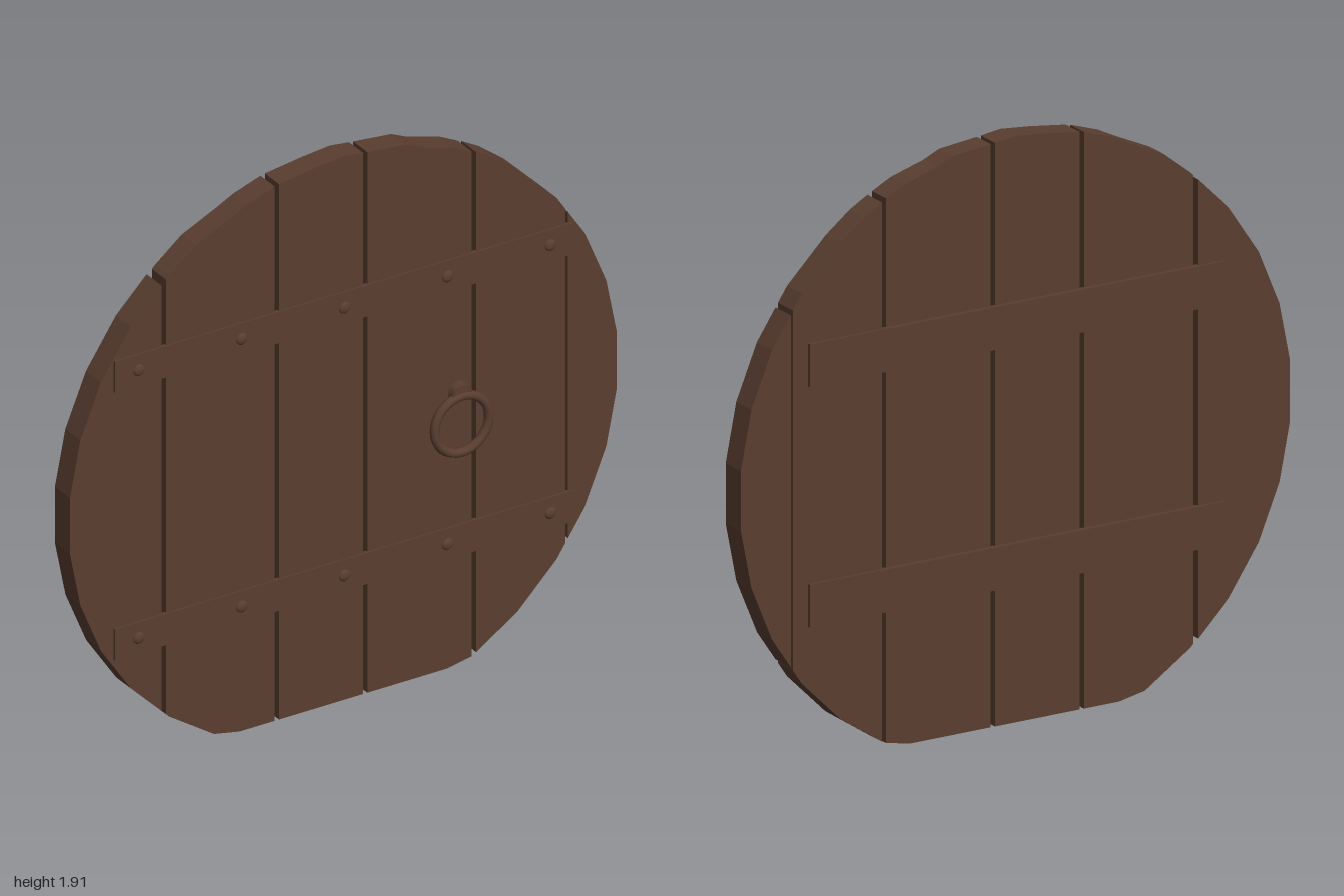
import * as THREE from 'three';

const wood = new THREE.MeshStandardMaterial({ color: 0x5a3e30 });
wood.name = 'dark brown wood';

// Round door outline: regular arcs at the sides, rough-cut top, flat foot
function doorOutline() {
  const side = [];
  for (let k = -6; k <= 4; k++) {
    const a = ((k + 0.5) * Math.PI) / 16;
    side.push([Math.cos(a) * 1.005, 0.905 + Math.sin(a) * 1.005]);
  }
  const top = [
    [0.55, 1.75], [0.48, 1.79], [0.4, 1.83], [0.28, 1.865], [0.225, 1.89], [0.08, 1.905],
    [0, 1.915], [-0.1, 1.905], [-0.245, 1.885], [-0.35, 1.85], [-0.42, 1.815], [-0.54, 1.76],
  ];
  const mirrored = side.map(([x, y]) => [-x, y]).reverse();
  return [[0.38, 0], ...side, ...top, ...mirrored, [-0.38, 0]];
}

// Keep the part of a polygon where sign * (x - limit) >= 0
function clipX(points, limit, sign) {
  const out = [];
  points.forEach((p, i) => {
    const q = points[(i + 1) % points.length];
    const dp = sign * (p[0] - limit), dq = sign * (q[0] - limit);
    if (dp >= 0) out.push(p);
    if (dp * dq < 0) {
      const t = dp / (dp - dq);
      out.push([limit, p[1] + (q[1] - p[1]) * t]);
    }
  });
  return out;
}

export function createModel() {
  const model = new THREE.Group();
  model.name = 'roundDoor';

  function add(name, geometry, x, y, z) {
    const mesh = new THREE.Mesh(geometry, wood);
    mesh.name = name;
    mesh.position.set(x, y, z);
    model.add(mesh);
    return mesh;
  }
  // Box given by its centre height, half length and depth range
  const bar = (name, y, halfLength, height, z0, z1) =>
    add(name, new THREE.BoxGeometry(halfLength * 2, height, z1 - z0), 0, y, (z0 + z1) / 2);

  // Planks: [left, right, back z], with narrow gaps between them
  const outline = doorOutline();
  const planks = [
    [-1.1, -0.665, -0.055], [-0.649, -0.252, -0.05], [-0.236, 0.072, -0.05],
    [0.087, 0.468, -0.05], [0.485, 0.81, -0.055], [0.819, 1.1, -0.057],
  ];
  planks.forEach(([x0, x1, back], i) => {
    const points = clipX(clipX(outline, x0, 1), x1, -1).map(([x, y]) => new THREE.Vector2(x, y));
    const geometry = new THREE.ExtrudeGeometry(new THREE.Shape(points), {
      depth: 0.032 - back, bevelEnabled: false,
    });
    add(`plank${i + 1}`, geometry, 0, 0, back);
  });

  // Front straps with domed rivets
  const rivet = new THREE.SphereGeometry(0.021, 12, 6, 0, Math.PI * 2, 0, Math.PI / 2);
  rivet.rotateX(Math.PI / 2).scale(1, 1, 0.5);
  for (const [label, y] of [['upper', 1.385], ['lower', 0.442]]) {
    bar(`${label}Strap`, y, 0.84, 0.11, 0.024, 0.038);
    for (const x of [-0.752, -0.376, 0, 0.376, 0.752]) add(`${label}Rivet`, rivet, x, y, 0.037);
  }

  // Back battens
  bar('upperBatten', 1.305, 0.755, 0.14, -0.066, -0.045);
  bar('lowerBatten', 0.52, 0.755, 0.14, -0.066, -0.045);

  // Ring handle hanging from its boss
  add('handleRing', new THREE.TorusGeometry(0.099, 0.015, 10, 32), 0.418, 0.86, 0.053);
  const boss = new THREE.CylinderGeometry(0.035, 0.037, 0.03, 10);
  boss.rotateX(Math.PI / 2);
  add('handleBoss', boss, 0.418, 0.966, 0.045);

  return model;
}
